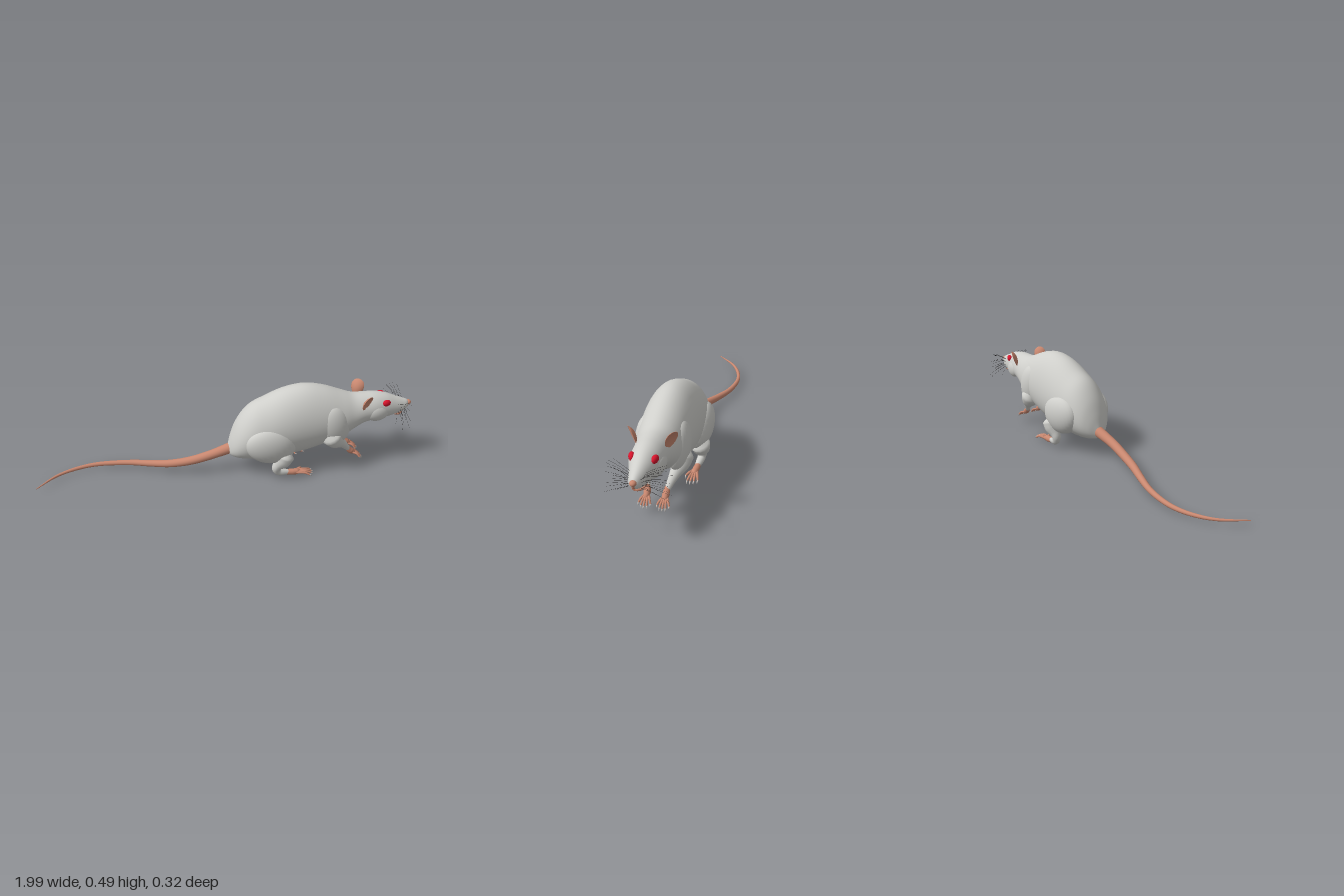
import * as THREE from 'three';
import { mergeVertices } from 'three/addons/utils/BufferGeometryUtils.js';

const material = (name, color) => {
  const m = new THREE.MeshStandardMaterial({ color });
  m.name = name;
  return m;
};

export function createModel() {
  const rat = new THREE.Group();
  rat.name = 'rat';
  const fur = material('white fur', 0xcfcfcb);
  const skin = material('pink skin', 0xc98870);
  const red = material('red eye', 0xd8142c);
  const dark = material('dark whisker', 0x2a2828);
  const horn = material('pale claw', 0xc4bdb8);

  const add = (name, geometry, mat, parent = rat) => {
    const mesh = new THREE.Mesh(geometry, mat);
    mesh.name = name;
    parent.add(mesh);
    return mesh;
  };

  // Smooth closed skin over sections along x: [x, top, bottom, half width]
  const loft = (stations, pear, perSpan = 5, sides = 40) => {
    const a = new THREE.CatmullRomCurve3(stations.map(s => new THREE.Vector3(s[0], s[1], s[2])));
    const b = new THREE.CatmullRomCurve3(stations.map(s => new THREE.Vector3(s[0], s[3], 0)));
    const n = (stations.length - 1) * perSpan, pos = [], idx = [];
    for (let i = 0; i <= n; i++) {
      const p = a.getPoint(i / n), w = Math.max(0.0005, b.getPoint(i / n).y);
      const cy = (p.y + p.z) / 2, h = Math.max(0.0005, (p.y - p.z) / 2);
      for (let j = 0; j < sides; j++) {
        const t = j / sides * Math.PI * 2;
        pos.push(p.x, cy + h * Math.sin(t), w * Math.cos(t) * (1 - pear * Math.sin(t)));
        if (i < n) {
          const k = i * sides + j, k2 = i * sides + (j + 1) % sides;
          idx.push(k, k + sides, k2, k2, k + sides, k2 + sides);
        }
      }
    }
    const g = new THREE.BufferGeometry();
    g.setAttribute('position', new THREE.Float32BufferAttribute(pos, 3));
    g.setIndex(idx);
    g.computeVertexNormals();
    return g;
  };

  // Tapering tube through points [x, y, z], radii spread evenly along its length
  const taper = (points, radii, steps = 24, sides = 14) => {
    const curve = new THREE.CatmullRomCurve3(points.map(p => new THREE.Vector3(...p)));
    let g = new THREE.TubeGeometry(curve, steps, 1, sides);
    const pos = g.attributes.position, v = new THREE.Vector3();
    for (let i = 0; i < pos.count; i++) {
      const t = Math.floor(i / (sides + 1)) / steps, c = curve.getPointAt(t);
      const f = t * (radii.length - 1), k = Math.min(Math.floor(f), radii.length - 2);
      const r = THREE.MathUtils.lerp(radii[k], radii[k + 1], f - k);
      v.fromBufferAttribute(pos, i).sub(c).multiplyScalar(r).add(c);
      pos.setXYZ(i, v.x, v.y, v.z);
    }
    g.deleteAttribute('uv');
    g.deleteAttribute('normal');
    g = mergeVertices(g, 1e-5);
    g.computeVertexNormals();
    return g;
  };

  const ellipsoid = (name, mat, p, r, rot = [0, 0, 0], parent = rat) => {
    const m = add(name, new THREE.SphereGeometry(1, 28, 20), mat, parent);
    m.position.set(...p);
    m.scale.set(...r);
    m.rotation.set(...rot);
    return m;
  };

  // Trunk, neck and head in one smooth form
  add('bodyAndHead', loft([
    [0.005, 0.165, 0.11, 0.02], [0.025, 0.235, 0.098, 0.06], [0.06, 0.315, 0.088, 0.095],
    [0.12, 0.39, 0.082, 0.12], [0.2, 0.433, 0.082, 0.132], [0.3, 0.476, 0.092, 0.134],
    [0.4, 0.492, 0.105, 0.13], [0.5, 0.474, 0.135, 0.122], [0.6, 0.436, 0.17, 0.108],
    [0.66, 0.415, 0.21, 0.092], [0.72, 0.412, 0.245, 0.08], [0.78, 0.411, 0.258, 0.073],
    [0.84, 0.4, 0.264, 0.06], [0.89, 0.38, 0.272, 0.046], [0.93, 0.364, 0.284, 0.034],
    [0.96, 0.352, 0.3, 0.022], [0.972, 0.342, 0.312, 0.008]], 0.1), fur);

  // Nose, lip cleft and mouth
  ellipsoid('nose', skin, [0.971, 0.334, 0], [0.016, 0.013, 0.015]);
  add('lipCleft', taper([[0.973, 0.328, 0], [0.967, 0.312, 0], [0.951, 0.296, 0]], [0.006, 0.007, 0.004], 10), skin);
  add('mouth', taper([[0.89, 0.285, 0.034], [0.925, 0.279, 0.018], [0.938, 0.282, 0],
    [0.925, 0.279, -0.018], [0.89, 0.285, -0.034]], [0.002, 0.006, 0.006, 0.006, 0.002], 24, 8), skin);

  // Tail
  add('tail', taper([[0.035, 0.145, 0], [-0.1, 0.106, 0.008], [-0.2, 0.077, 0], [-0.3, 0.056, -0.02],
    [-0.4, 0.042, -0.055], [-0.5, 0.033, -0.09], [-0.6, 0.027, -0.11], [-0.7, 0.024, -0.115],
    [-0.8, 0.023, -0.094], [-0.9, 0.025, -0.043], [-1, 0.031, 0.06]],
  [0.03, 0.025, 0.023, 0.021, 0.018, 0.015, 0.013, 0.011, 0.009, 0.006, 0.002], 80, 18), skin);

  // Cupped ear disc, narrower at its root
  const earGeometry = new THREE.SphereGeometry(1, 28, 20);
  const ep = earGeometry.attributes.position;
  for (let i = 0; i < ep.count; i++) {
    const x = ep.getX(i), y = ep.getY(i), z = ep.getZ(i);
    ep.setXYZ(i, x * 0.039 * (0.88 + 0.15 * y), y * 0.045, z * 0.004 + 0.013 * (x * x + y * y) - 0.006);
  }
  earGeometry.computeVertexNormals();

  for (const s of [1, -1]) {
    const side = new THREE.Group();
    side.name = s > 0 ? 'frontSideParts' : 'rearSideParts';
    rat.add(side);
    const m = pts => pts.map(([x, y, z]) => [x, y, z * s]);
    const tube = (name, mat, pts, radii, steps, sides) => add(name, taper(m(pts), radii, steps, sides), mat, side);

    // Ear
    const ear = add('ear', s > 0 ? earGeometry : earGeometry.clone(), skin, side);
    if (s < 0) ear.geometry.rotateY(Math.PI);
    ear.position.set(0.71, 0.4, 0.081 * s);
    ear.rotation.set(0.32 * s, 0.6 * s, 0, 'YXZ');

    // Eye and brow
    ellipsoid('eye', red, [0.832, 0.369, 0.05 * s], [0.023, 0.018, 0.014], [0, 0.25 * s, -0.1], side);
    ellipsoid('cheek', fur, [0.79, 0.315, 0.045 * s], [0.07, 0.05, 0.033], [0, 0.2 * s, -0.1], side);
    ellipsoid('whiskerPad', fur, [0.925, 0.317, 0.017 * s], [0.035, 0.025, 0.019], [0, 0.3 * s, -0.2], side);

    // Shoulder and foreleg
    ellipsoid('shoulder', fur, [0.55, 0.28, 0.075 * s], [0.085, 0.12, 0.053], [0, 0.1 * s, 0.3], side);
    tube('foreleg', fur, [[0.52, 0.25, 0.085], [0.555, 0.195, 0.085], [0.61, 0.148, 0.066], [0.65, 0.1, 0.046]],
      [0.03, 0.055, 0.043, 0.027, 0.019, 0.014]);

    // Hand with fanned fingers
    tube('hand', skin, [[0.643, 0.112, 0.048], [0.663, 0.086, 0.044], [0.69, 0.066, 0.043], [0.7, 0.06, 0.043]],
      [0.012, 0.015, 0.017, 0.013, 0.002], 16);
    for (let i = 0; i < 5; i++) {
      const f = i / 2 - 1, reach = 1 - 0.4 * f * f;
      const x = 0.69 + 0.036 * reach, y = 0.063 - 0.019 * reach, z = 0.043 + 0.028 * f;
      tube('finger', skin, [[0.678, 0.073, 0.043 + 0.01 * f], [(0.69 + x) / 2, (y + 0.079) / 2, 0.043 + 0.021 * f], [x, y, z]],
        [0.006, 0.0055, 0.005, 0.004], 10, 8);
      tube('fingerClaw', horn, [[x - 0.002, y + 0.001, z], [x + 0.005, y - 0.004, z], [x + 0.008, y - 0.011, z]],
        [0.004, 0.003, 0.0005], 6, 6);
    }

    // Thigh, shin and ankle
    ellipsoid('thigh', fur, [0.215, 0.2, 0.098 * s], [0.135, 0.108, 0.063], [0.08 * s, 0, -0.25], side);
    tube('shin', fur, [[0.3, 0.165, 0.105], [0.28, 0.115, 0.114], [0.245, 0.064, 0.113], [0.255, 0.037, 0.11], [0.31, 0.023, 0.104]],
      [0.02, 0.05, 0.042, 0.027, 0.021, 0.019, 0.014]);

    // Hind foot with fanned toes
    tube('hindFoot', skin, [[0.285, 0.026, 0.106], [0.33, 0.02, 0.103], [0.375, 0.017, 0.1], [0.39, 0.015, 0.1]],
      [0.011, 0.015, 0.017, 0.016, 0.002], 16);
    for (let i = 0; i < 5; i++) {
      const f = i / 2 - 1, reach = f < -0.9 ? 0.25 : 1 - 0.25 * f * f;
      const x = 0.375 + 0.065 * reach, z = 0.098 + 0.033 * f;
      tube('toe', skin, [[0.355, 0.018, 0.1 + 0.011 * f], [(0.375 + x) / 2, 0.021, 0.1 + 0.024 * f], [x, 0.011, z]],
        [0.0075, 0.0065, 0.006, 0.0045], 10, 8);
      tube('toeClaw', horn, [[x - 0.002, 0.011, z], [x + 0.007, 0.009, z], [x + 0.013, 0.001, z]],
        [0.004, 0.003, 0.0005], 6, 6);
    }

    // Whiskers
    for (let row = 0; row < 4; row++) for (let col = 0; col < 4; col++) {
      const y = 0.302 + row * 0.011, x = 0.905 + col * 0.014;
      const out = 0.085 + 0.055 * Math.abs(Math.sin(row * 2.3 + col * 1.7)), rise = (row - 1.3) * 0.032;
      tube('whisker', dark, [[x, y, 0.018], [x - 0.005, y + rise * 0.6, out * 0.6], [x - 0.022 + col * 0.006, y + rise - 0.008, out]],
        [0.0008, 0.0006, 0.0003], 8, 4);
    }
  }
  return rat;
}
